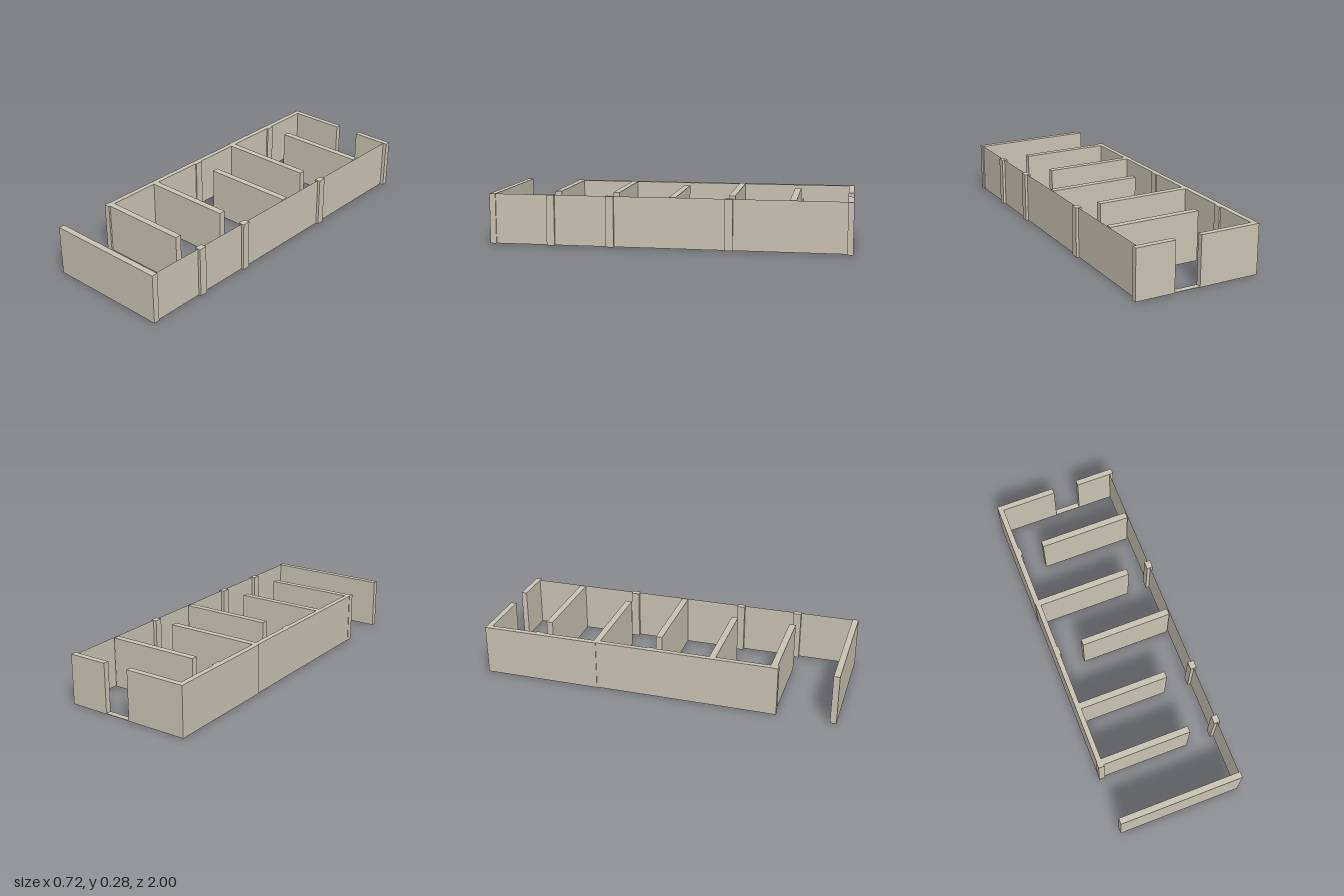
import * as THREE from 'three';

const H = 0.28; // wall height

export function createModel() {
  const model = new THREE.Group();
  const plaster = new THREE.MeshStandardMaterial({ color: 0xc8c2b2 });
  plaster.name = 'plaster';
  const sheet = new THREE.MeshStandardMaterial({ color: 0xc8c2b2, side: THREE.DoubleSide });
  sheet.name = 'plasterSheet';

  // Upright block given by its footprint
  const block = (name, x0, x1, z0, z1, h = H) => {
    const mesh = new THREE.Mesh(new THREE.BoxGeometry(x1 - x0, h, z1 - z0), plaster);
    mesh.position.set((x0 + x1) / 2, h / 2, (z0 + z1) / 2);
    mesh.name = name;
    model.add(mesh);
  };

  // Front wall, and back wall with a doorway and low sill
  block('frontWall', -0.355, 0.343, 0.966, 1);
  block('backWallLeftOfDoor', 0.133, 0.357, -1, -0.968);
  block('backWallRightOfDoor', -0.33, -0.015, -1, -0.968);
  block('doorSill', -0.015, 0.133, -1, -0.968, 0.004);

  // Long side wall, in two slightly offset runs with an end post
  block('sideWallBack', -0.36, -0.33, -1, -0.34);
  block('sideWallFront', -0.356, -0.328, -0.34, 0.64);
  block('sideWallEndPost', -0.358, -0.325, 0.64, 0.677);

  // Shallow pilasters on the inner side of the long wall
  for (const z of [-0.68, -0.03]) block('pilaster', -0.331, -0.321, z - 0.023, z + 0.023);

  // Cross partitions: alternately attached to either side
  for (const [x0, x1, z] of [
    [-0.193, 0.33, -0.68],
    [-0.33, 0.205, -0.34],
    [-0.19, 0.33, -0.028],
    [-0.33, 0.176, 0.315],
    [-0.33, 0.176, 0.65],
  ]) block('partition', x0, x1, z - 0.018, z + 0.018);

  // Posts standing through the thin side wall
  for (const z of [-0.338, 0.316, 0.65]) block('post', 0.317, 0.351, z - 0.022, z + 0.022);

  // Thin side wall sheet
  const thin = new THREE.Mesh(new THREE.PlaneGeometry(1.936, H), sheet);
  thin.rotation.y = Math.PI / 2;
  thin.position.set(0.336, H / 2, -0.001);
  thin.name = 'thinSideWall';
  model.add(thin);

  return model;
}
